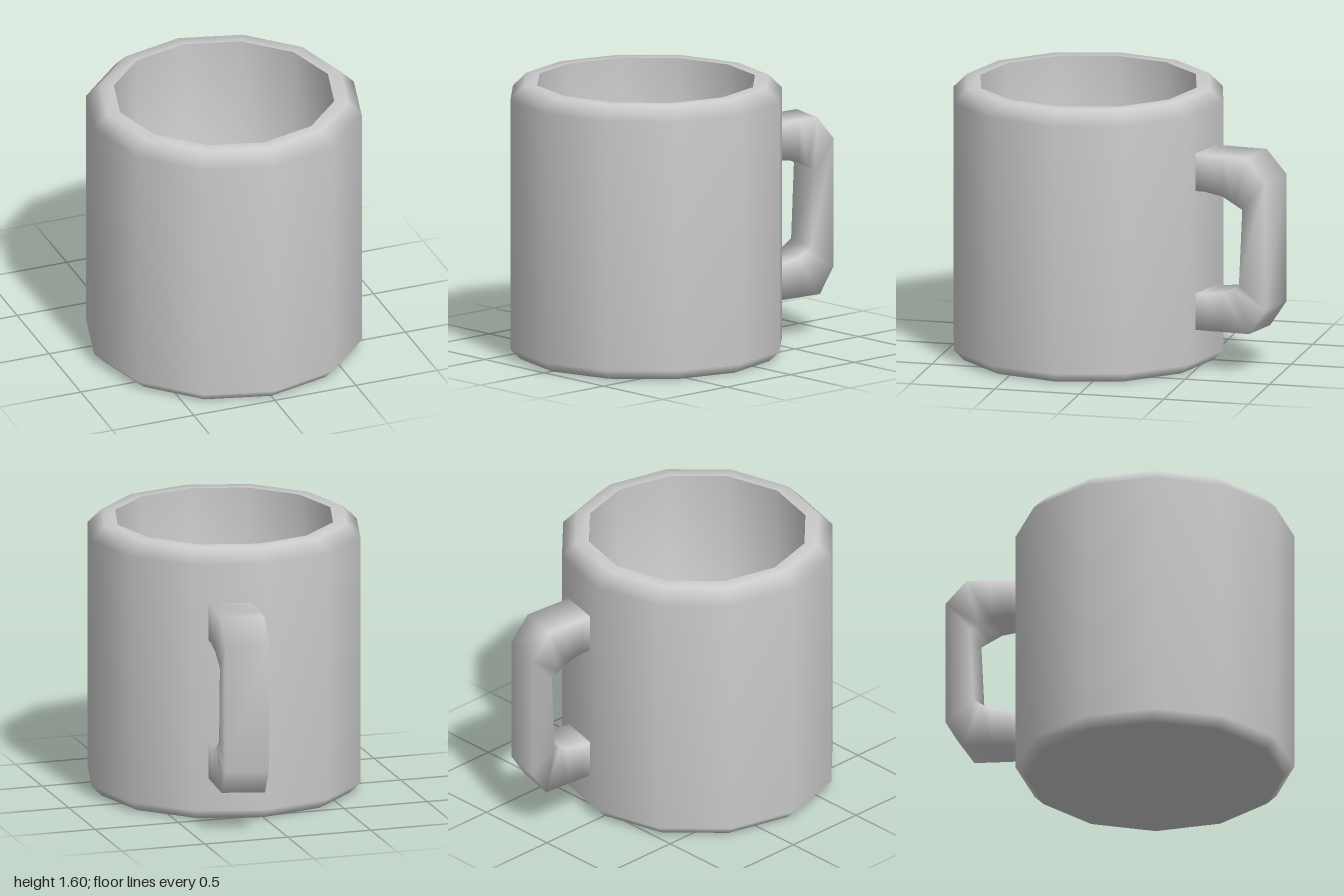
import * as THREE from 'three';

const material = new THREE.MeshStandardMaterial({ color: 0xcccccc });

// Twelve-sided turned surface, smooth along its profile
function turned(name, profile) {
  const points = profile.map(([r, y]) => new THREE.Vector2(r, y));
  const mesh = new THREE.Mesh(new THREE.LatheGeometry(points, 12), material);
  mesh.name = name;
  mesh.position.z = 0.2;
  return mesh;
}

// Four-cornered loop swept through [outerZ, outerY, innerZ, innerY] sections
function handleGeometry(sections) {
  const positions = [];
  const index = [];
  const corner = (z, y, side) => {
    const x = 0.2 + (-0.55 - z) * 0.083; // the handle leans slightly sideways
    positions.push(x + side * 0.121, y, z + side * 0.032);
  };
  sections.forEach(([oz, oy, iz, iy], s) => {
    corner(oz, oy, -1);
    corner(oz, oy, 1);
    corner(iz, iy, 1);
    corner(iz, iy, -1);
    if (s === 0) return;
    for (let k = 0; k < 4; k++) {
      const a = (s - 1) * 4 + k, b = (s - 1) * 4 + (k + 1) % 4;
      index.push(a, b, b + 4, a, b + 4, a + 4);
    }
  });
  // Sections run from the top root outward, so this winding faces out
  const geometry = new THREE.BufferGeometry();
  geometry.setAttribute('position', new THREE.Float32BufferAttribute(positions, 3));
  geometry.setIndex(index);
  geometry.computeVertexNormals();
  return geometry;
}

export function createModel() {
  const mug = new THREE.Group();
  mug.name = 'mug';

  // Outer wall with bevelled base and rim
  mug.add(turned('body', [
    [0, 0], [0.74, 0], [0.8, 0.06], [0.8, 1.52], [0.72, 1.6], [0.64, 1.6],
  ]));

  // Inside wall and floor
  mug.add(turned('cavity', [[0.64, 1.6], [0.64, 0.16], [0, 0.16]]));

  // Handle, rooted in one facet at the back
  const handle = new THREE.Mesh(handleGeometry([
    [-0.50, 1.29, -0.50, 1.07],
    [-0.60, 1.29, -0.60, 1.07],
    [-0.72, 1.29, -0.71, 1.05],
    [-0.85, 1.29, -0.78, 1.01],
    [-0.97, 1.15, -0.83, 0.98],
    [-0.97, 0.40, -0.81, 0.54],
    [-0.87, 0.25, -0.77, 0.51],
    [-0.71, 0.25, -0.71, 0.48],
    [-0.60, 0.25, -0.60, 0.465],
    [-0.50, 0.25, -0.50, 0.465],
  ]), material);
  handle.name = 'handle';
  mug.add(handle);

  return mug;
}
